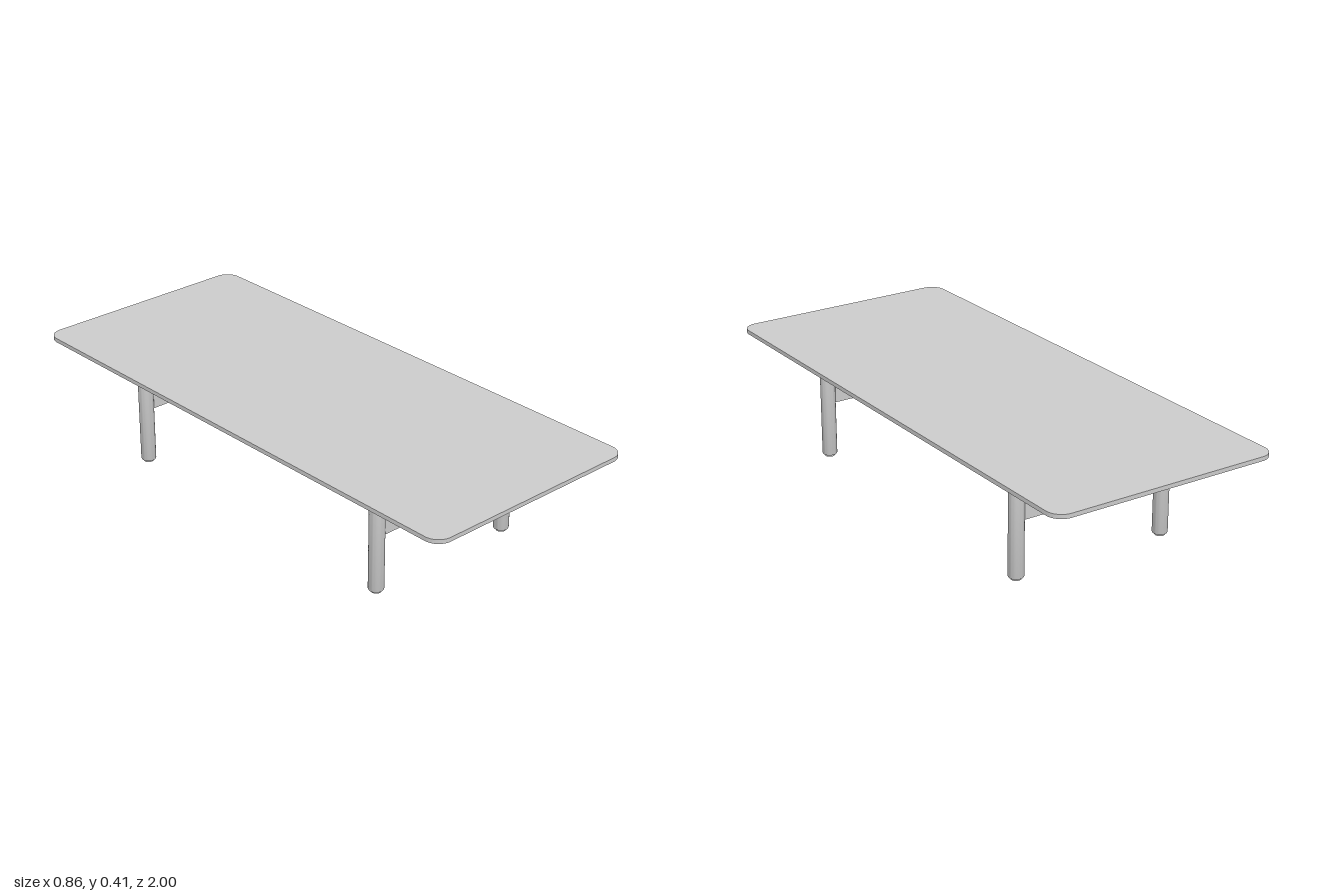
import * as THREE from 'three';
import { toCreasedNormals } from 'three/addons/utils/BufferGeometryUtils.js';

const material = new THREE.MeshStandardMaterial({ color: 0xcccccc });

function add(parent, name, geometry, x = 0, y = 0, z = 0) {
  const mesh = new THREE.Mesh(geometry, material);
  mesh.name = name;
  mesh.position.set(x, y, z);
  parent.add(mesh);
  return mesh;
}

// Flat horizontal board with rounded corners, standing on y = 0
function board(width, length, height, r) {
  const w = width / 2, l = length / 2;
  const shape = new THREE.Shape();
  shape.absarc(w - r, l - r, r, 0, Math.PI / 2);
  shape.absarc(-w + r, l - r, r, Math.PI / 2, Math.PI);
  shape.absarc(-w + r, -l + r, r, Math.PI, Math.PI * 1.5);
  shape.absarc(w - r, -l + r, r, Math.PI * 1.5, Math.PI * 2);
  const geometry = new THREE.ExtrudeGeometry(shape, { depth: height, bevelEnabled: false, curveSegments: 10 });
  geometry.rotateX(-Math.PI / 2);
  return toCreasedNormals(geometry, 0.6);
}

// Turned leg with softened ends
function legGeometry() {
  const profile = [
    [0, 0.007], [0.022, 0.007], [0.0255, 0.0085], [0.027, 0.012],
    [0.027, 0.374], [0.024, 0.377], [0, 0.377],
  ].map(([x, y]) => new THREE.Vector2(x, y));
  return toCreasedNormals(new THREE.LatheGeometry(profile, 32), 0.6);
}

export function createModel() {
  const table = new THREE.Group();
  table.name = 'table';

  add(table, 'tableTop', board(0.856, 2, 0.015, 0.055), 0, 0.394, 0);

  // Battens under the top: three wide, two narrow
  for (const z of [-0.6, 0, 0.6]) add(table, 'wideBatten', board(0.75, 0.1, 0.017, 0.025), 0, 0.377, z);
  for (const z of [-0.32, 0.32]) add(table, 'narrowBatten', board(0.75, 0.056, 0.017, 0.02), 0, 0.377, z);

  // Legs with foot glides, and a cross rail with a bolt at each end
  const leg = legGeometry();
  const foot = new THREE.CylinderGeometry(0.0185, 0.018, 0.008, 24);
  const bolt = new THREE.CylinderGeometry(0.008, 0.008, 0.004, 12).rotateX(Math.PI / 2);
  for (const side of [-1, 1]) {
    for (const x of [-0.294, 0.294]) {
      add(table, 'leg', leg, x, 0, side * 0.6);
      add(table, 'footGlide', foot, x, 0.004, side * 0.6);
    }
    add(table, 'crossRail', new THREE.BoxGeometry(0.56, 0.063, 0.026), 0, 0.239, side * 0.6);
    add(table, 'bolt', bolt, 0, 0.239, side * 0.614);
  }

  // Long stretcher and the post that props the middle batten
  add(table, 'stretcher', new THREE.BoxGeometry(0.05, 0.051, 1.176), 0, 0.239, 0);
  add(table, 'centrePost', new THREE.CylinderGeometry(0.008, 0.008, 0.115, 20), 0, 0.3205, 0);

  return table;
}
